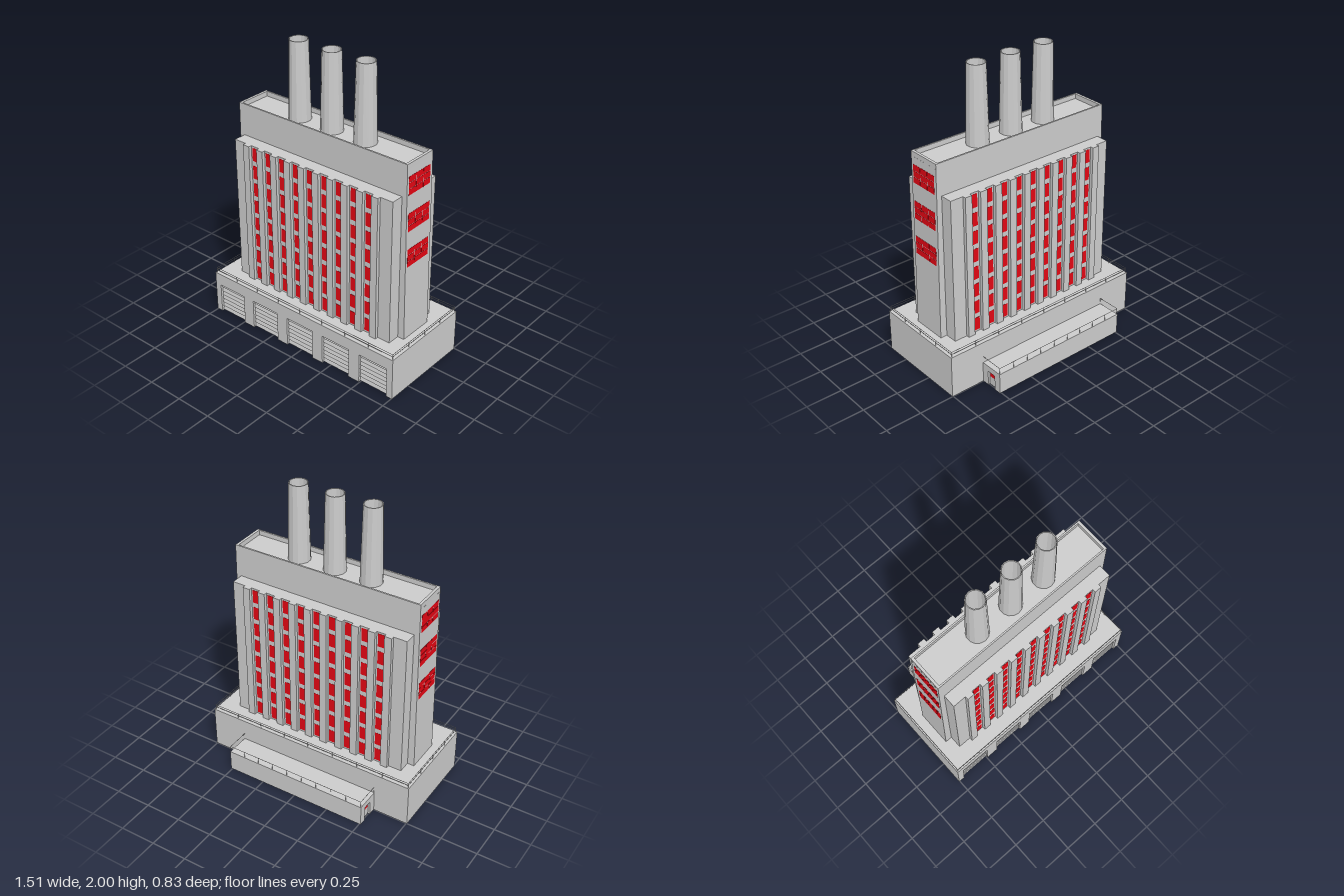
import * as THREE from 'three';

const grey = new THREE.MeshStandardMaterial({ color: 0xcccccc, flatShading: true, side: THREE.DoubleSide });
const red = new THREE.MeshStandardMaterial({ color: 0xe30613 });

function add(parent, name, geometry, material = grey) {
  const mesh = new THREE.Mesh(geometry, material);
  mesh.name = name;
  parent.add(mesh);
  return mesh;
}

// Box given by its two extreme corners
function box(parent, name, x0, x1, y0, y1, z0, z1, material = grey) {
  const mesh = add(parent, name, new THREE.BoxGeometry(x1 - x0, y1 - y0, z1 - z0), material);
  mesh.position.set((x0 + x1) / 2, (y0 + y1) / 2, (z0 + z1) / 2);
  return mesh;
}

// Hollow box missing some faces (0 +x, 1 -x, 2 +y, 3 -y, 4 +z, 5 -z)
function shell(parent, name, missing, ...corners) {
  const mesh = box(parent, name, ...corners);
  const index = Array.from(mesh.geometry.index.array);
  mesh.geometry.setIndex(index.filter((_, i) => !missing.includes(Math.floor(i / 6))));
  mesh.geometry.clearGroups();
}

function group(parent, name) {
  const g = new THREE.Group();
  g.name = name;
  parent.add(g);
  return g;
}

// Wall from u0 to u1 with openings [from, to] that reach the ground
function wallGeometry(u0, u1, top, openings, openTop, depth) {
  const shape = new THREE.Shape();
  shape.moveTo(u0, 0);
  for (const [a, b] of openings) {
    shape.lineTo(a, 0);
    shape.lineTo(a, openTop);
    shape.lineTo(b, openTop);
    shape.lineTo(b, 0);
  }
  shape.lineTo(u1, 0);
  shape.lineTo(u1, top);
  shape.lineTo(u0, top);
  return new THREE.ExtrudeGeometry(shape, { depth, bevelEnabled: false });
}

// Thin railing along a list of [x, z] corners
function railing(parent, name, corners, y, height, railHeights, spacing) {
  const g = group(parent, name);
  const t = 0.0011;
  for (let i = 0; i + 1 < corners.length; i++) {
    const [ax, az] = corners[i], [bx, bz] = corners[i + 1];
    for (const h of railHeights) {
      box(g, 'rail', Math.min(ax, bx) - t, Math.max(ax, bx) + t, y + h - 2 * t, y + h,
        Math.min(az, bz) - t, Math.max(az, bz) + t);
    }
    const n = Math.max(1, Math.round(Math.hypot(bx - ax, bz - az) / spacing));
    for (let k = 0; k <= n; k++) {
      const x = ax + (bx - ax) * k / n, z = az + (bz - az) * k / n;
      box(g, 'post', x - t, x + t, y, y + height, z - t, z + t);
    }
  }
}

// Podium, hollow and open below, with five shuttered bays in the front wall
function buildPodium(root) {
  const g = group(root, 'podium');
  const w = 0.755, top = 0.295, front = 0.417, recess = 0.02, half = 0.108, bayTop = 0.21;
  const bays = [-2, -1, 0, 1, 2].map((i) => i * 0.301);
  shell(g, 'podiumBody', [3, 4], -w, w, 0, top, -0.25, front - recess);
  add(g, 'frontWall', wallGeometry(-w, w, top, bays.map((c) => [c - half, c + half]), bayTop, recess))
    .position.z = front - recess;

  // Louvred sheet: alternate rows come forward and droop
  const shutter = new THREE.PlaneGeometry(half * 2, bayTop, 1, 14);
  const p = shutter.attributes.position;
  for (let i = 0; i < p.count; i++) {
    if (Math.floor(i / 2) % 2) p.setXYZ(i, p.getX(i), p.getY(i) - 0.009, 0.007);
  }
  for (const c of bays) {
    add(g, 'shutter', shutter).position.set(c, bayTop / 2, front - recess);
  }
  const r = w - 0.008;
  railing(g, 'podiumRailing', [[-r, -0.243], [r, -0.243], [r, 0.409], [-r, 0.409], [-r, -0.243]],
    top, 0.037, [0.037, 0.022], 0.18);
}

// Low rear annex with a recessed door at each end
function buildAnnex(root) {
  const g = group(root, 'annex');
  const w = 0.51, recess = 0.015, d = w - recess, top = 0.145;
  shell(g, 'annexBody', [3, 4], -d, d, 0, top, -0.415, -0.25);
  const end = wallGeometry(0.25, 0.415, top, [[0.3, 0.365]], 0.105, recess);
  for (const s of [-1, 1]) {
    const wall = add(g, 'endWall', end);
    wall.rotation.y = Math.PI / 2;
    wall.position.x = s > 0 ? d : -w;
    box(g, 'doorWindow', s * d - 0.002, s * d + 0.002, 0.064, 0.094, -0.347, -0.308, red);
  }
  const r = w - 0.003;
  railing(g, 'annexRailing', [[-r, -0.252], [-r, -0.412], [r, -0.412], [r, -0.252]],
    top, 0.045, [0.045], 0.11);
}

// Wide block with pilasters and window columns, front and back
function buildBlock(root) {
  const g = group(root, 'windowBlock');
  const y0 = 0.295, y1 = 1.29, z0 = -0.126, z1 = 0.291, out = 0.023, pitch = 0.1142;
  box(g, 'blockBody', -0.63, 0.63, y0, y1, z0, z1);
  for (const s of [-1, 1]) {
    const span = (d) => (s > 0 ? [z1, z1 + d] : [z0 - d, z0]);
    for (let i = 0; i < 10; i++) {
      const x = (i - 4.5) * pitch;
      box(g, 'pilaster', x - 0.025, x + 0.025, y0, y1, ...span(out));
    }
    for (let i = -4; i <= 4; i++) {
      for (let k = 0; k < 8; k++) {
        const y = 0.352 + k * 0.1257;
        box(g, 'window', i * pitch - 0.023, i * pitch + 0.023, y - 0.046, y + 0.046, ...span(0.001), red);
      }
    }
  }
}

// Tall tapering slab with a parapet and end windows
function buildSlab(root) {
  const g = group(root, 'tallSlab');
  const y0 = 0.295, y1 = 1.508, roof = 1.475, z0 = -0.04, z1 = 0.205;
  const halfWidth = (y) => 0.677 - 0.014 * (y - y0) / (y1 - y0);
  const shape = new THREE.Shape([
    new THREE.Vector2(-halfWidth(y0), y0), new THREE.Vector2(halfWidth(y0), y0),
    new THREE.Vector2(halfWidth(roof), roof), new THREE.Vector2(-halfWidth(roof), roof),
  ]);
  add(g, 'slabBody', new THREE.ExtrudeGeometry(shape, { depth: z1 - z0, bevelEnabled: false })).position.z = z0;

  const w = halfWidth(y1);
  for (const s of [-1, 1]) {
    const x = s > 0 ? [w - 0.018, w] : [-w, -w + 0.018];
    const z = s > 0 ? [z1 - 0.011, z1] : [z0, z0 + 0.011];
    box(g, 'endParapet', ...x, roof, y1, z0, z1);
    box(g, 'longParapet', -w + 0.018, w - 0.018, roof, y1, ...z);

    for (const yc of [0.873, 1.118, 1.363]) {
      const win = group(g, 'endWindow');
      win.position.set(s * halfWidth(yc), yc, 0.085);
      win.rotation.z = s * Math.atan(0.014 / (y1 - y0));
      for (let c = -1; c <= 1; c++) {
        for (let r = -1; r <= 1; r++) {
          box(win, 'pane', -0.001, 0.001, r * 0.042 - 0.0195, r * 0.042 + 0.0195,
            c * 0.07 - 0.0335, c * 0.07 + 0.0335, red);
        }
      }
    }
  }
}

// Three hollow tapering chimneys
function buildChimneys(root) {
  const profile = [[0.073, 1.475], [0.061, 2], [0.055, 2], [0.058, 1.475]].map(([r, y]) => new THREE.Vector2(r, y));
  for (let i = -1; i <= 1; i++) {
    add(root, 'chimney', new THREE.LatheGeometry(profile, 14)).position.set(i * 0.26, 0, 0.083);
  }
}

export function createModel() {
  const root = new THREE.Group();
  root.name = 'powerStation';
  buildPodium(root);
  buildAnnex(root);
  buildBlock(root);
  buildSlab(root);
  buildChimneys(root);
  return root;
}
